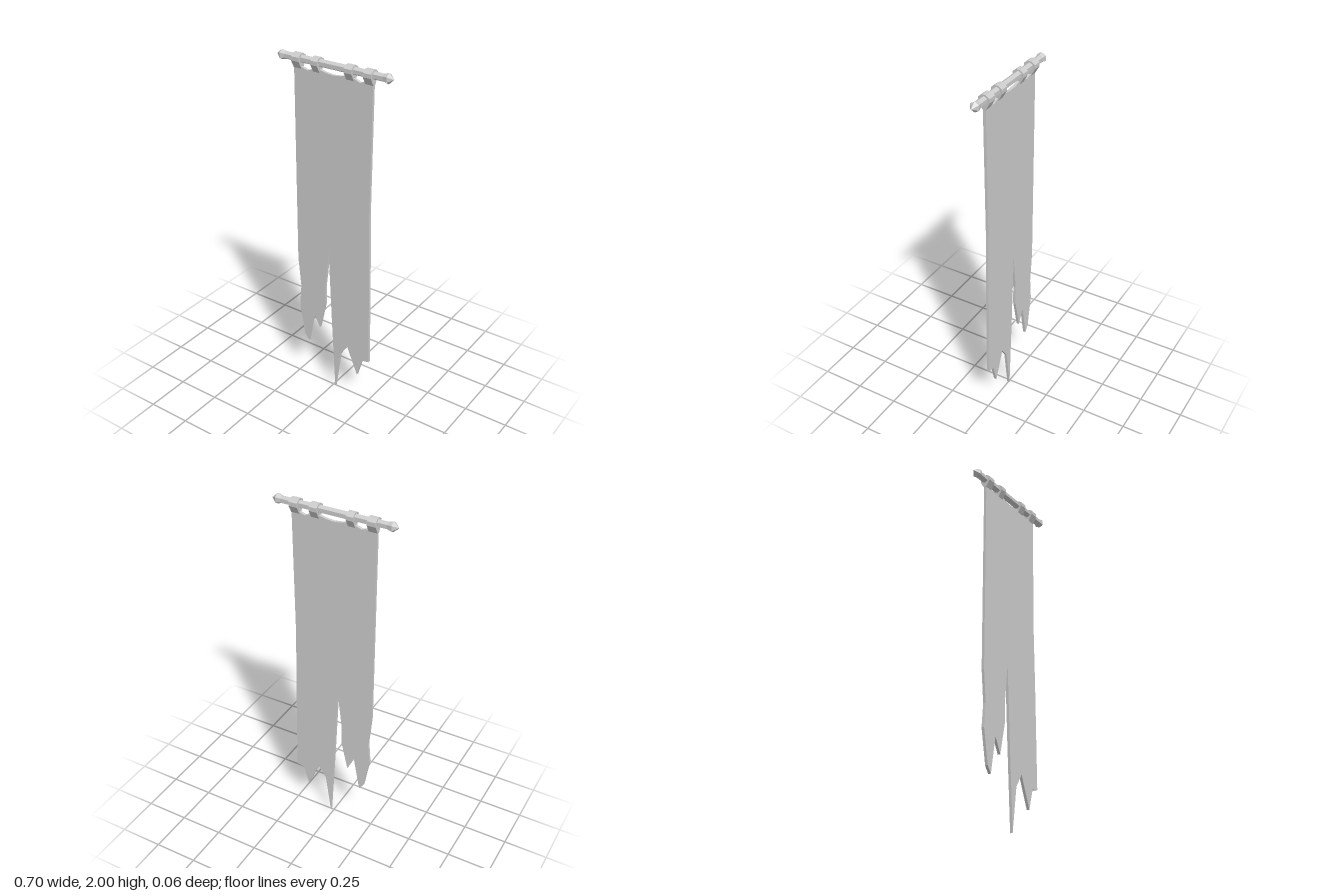
import * as THREE from 'three';

const material = new THREE.MeshStandardMaterial({ color: 0xcccccc, flatShading: true });
const POLE_Y = 1.973;
const CLOTH_THICKNESS = 0.016;

function addMesh(parent, name, geometry) {
  const mesh = new THREE.Mesh(geometry, material);
  mesh.name = name;
  parent.add(mesh);
  return mesh;
}

const toPoints = (list) => list.map(([x, y]) => new THREE.Vector2(x, y));

export function createModel() {
  const model = new THREE.Group();
  model.name = 'tatteredBanner';

  // Six-sided pole with pointed, flared finials at both ends
  const half = [[0.021, 0.293], [0.028, 0.318], [0, 0.348]];
  const profile = [...half.map(([r, x]) => [r, -x]).reverse(), ...half];
  const pole = new THREE.LatheGeometry(toPoints(profile), 6, Math.PI / 2);
  pole.rotateZ(Math.PI / 2);
  addMesh(model, 'pole', pole).position.y = POLE_Y;

  // Cloth: scalloped top edge, torn lower edge with a long split
  const outline = [
    // top edge, left to right
    [-0.238, 1.932], [-0.192, 1.932], [-0.155, 1.921], [-0.12, 1.934],
    [-0.08, 1.94], [-0.045, 1.931], [0, 1.926], [0.045, 1.931], [0.079, 1.94],
    [0.124, 1.936], [0.16, 1.921], [0.19, 1.932], [0.235, 1.932],
    // right side and wider tail
    [0.229, 1.2], [0.237, 0.85], [0.245, 0.273], [0.2, 0.265], [0.168, 0.15],
    [0.099, 0.32], [0.051, 0.246], [0.017, 0], [-0.007, 0.45],
    // split and shorter tail
    [-0.028, 0.898], [-0.052, 0.68], [-0.052, 0.56], [-0.092, 0.379],
    [-0.134, 0.464], [-0.171, 0.257], [-0.198, 0.294], [-0.232, 0.485],
    [-0.221, 0.617], [-0.238, 0.8],
  ];
  const cloth = new THREE.ExtrudeGeometry(new THREE.Shape(toPoints(outline)), {
    depth: CLOTH_THICKNESS, bevelEnabled: false,
  });
  cloth.translate(0, 0, -CLOTH_THICKNESS / 2);
  addMesh(model, 'cloth', cloth);

  // Hanging loops: faceted bands around the pole, tapering into the cloth
  const side = [[0.01, 2], [0.031, 1.985], [0.031, 1.963], [0.008, 1.922]];
  const band = new THREE.Shape(toPoints([
    ...side, ...side.map(([z, y]) => [-z, y]).reverse(),
  ]));
  const opening = [];
  for (let i = 0; i < 6; i++) {
    const a = Math.PI / 2 + (i * Math.PI) / 3;
    opening.push([0.0215 * Math.cos(a), POLE_Y + 0.0215 * Math.sin(a)]);
  }
  band.holes.push(new THREE.Path(toPoints(opening)));

  const loops = new THREE.Group();
  loops.name = 'hangingLoops';
  for (const [x0, x1] of [[-0.24, -0.192], [-0.12, -0.08], [0.079, 0.124], [0.19, 0.237]]) {
    const loop = new THREE.ExtrudeGeometry(band, { depth: x1 - x0, bevelEnabled: false });
    loop.rotateY(Math.PI / 2);
    addMesh(loops, 'hangingLoop', loop).position.x = x0;
  }
  model.add(loops);

  return model;
}
